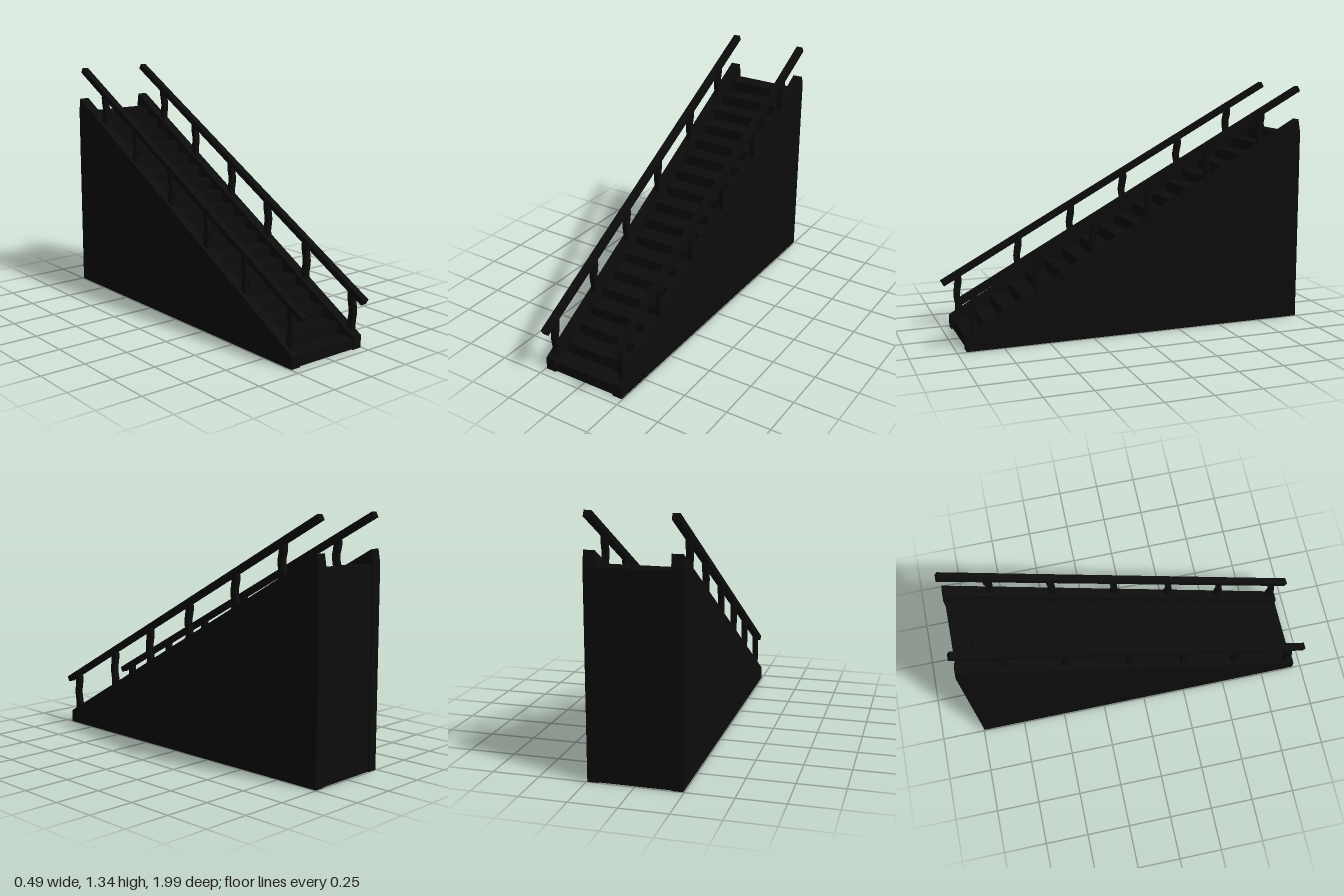
import * as THREE from 'three';

const STEPS = 18, FRONT = 0.94, RUN = 0.1073, RISE = 1.075 / STEPS;
const BACK = -0.99;

// Height of the sloped stringer top at a given z
const slopeY = z => 0.07 + (0.95 - z) * 0.562;
// Height of the handrail centre line at a given z
const railY = z => 0.262 + (0.99 - z) * 0.5406;

// Extrude a side profile of [z, y] points across x, centred on x
function sideExtrude(points, width, x) {
  const shape = new THREE.Shape(points.map(([z, y]) => new THREE.Vector2(z, y)));
  const geo = new THREE.ExtrudeGeometry(shape, { depth: width, bevelEnabled: false });
  geo.translate(0, 0, -width / 2);
  geo.rotateY(-Math.PI / 2);
  geo.translate(x, 0, 0);
  return geo;
}

export function createModel() {
  const model = new THREE.Group();
  model.name = 'staircase';
  const material = new THREE.MeshStandardMaterial({ color: 0x0c0c0c });

  const add = (name, geo, parent = model) => {
    const mesh = new THREE.Mesh(geo, material);
    mesh.name = name;
    parent.add(mesh);
    return mesh;
  };

  // Solid flight of steps with a closed back and underside
  const flight = [[BACK, 0], [FRONT, 0]];
  for (let i = 0; i < STEPS; i++) {
    const z = FRONT - i * RUN, y = (i + 1) * RISE;
    flight.push([z, y], [i === STEPS - 1 ? BACK + 0.005 : z - RUN, y]);
  }
  add('steps', sideExtrude(flight, 0.38, 0));

  for (const side of [1, -1]) {
    const group = new THREE.Group();
    group.name = side > 0 ? 'leftSide' : 'rightSide';
    model.add(group);

    // Closed side wall with a sloping top
    add('stringer', sideExtrude([
      [-0.997, 0], [0.95, 0], [0.95, 0.07], [-0.98, slopeY(-0.98)], [-0.993, 1.08],
    ], 0.058, side * 0.216), group);

    const railX = side > 0 ? 0.221 : -0.209;

    // Handrail parallel to the slope
    const a = new THREE.Vector2(0.99, railY(0.99)), b = new THREE.Vector2(-0.98, railY(-0.98));
    const rail = add('handrail', new THREE.BoxGeometry(0.038, 0.032, a.distanceTo(b)), group);
    rail.position.set(railX, (a.y + b.y) / 2, (a.x + b.x) / 2);
    rail.rotation.x = Math.atan2(b.y - a.y, a.x - b.x);

    // Gently waved balusters
    for (const z of [0.905, 0.555, 0.24, -0.08, -0.425, -0.745]) {
      const bottom = slopeY(z) - 0.02, top = railY(z);
      const front = [], back = [];
      for (let i = 0; i <= 10; i++) {
        const t = i / 10, y = bottom + (top - bottom) * t;
        const sway = -0.005 * Math.sin(t * Math.PI * 3);
        const half = 0.019 - 0.003 * Math.sin(t * Math.PI);
        front.push([z + sway + half, y]);
        back.unshift([z + sway - half, y]);
      }
      add('baluster', sideExtrude([...front, ...back], 0.03, railX), group);
    }
  }
  return model;
}
